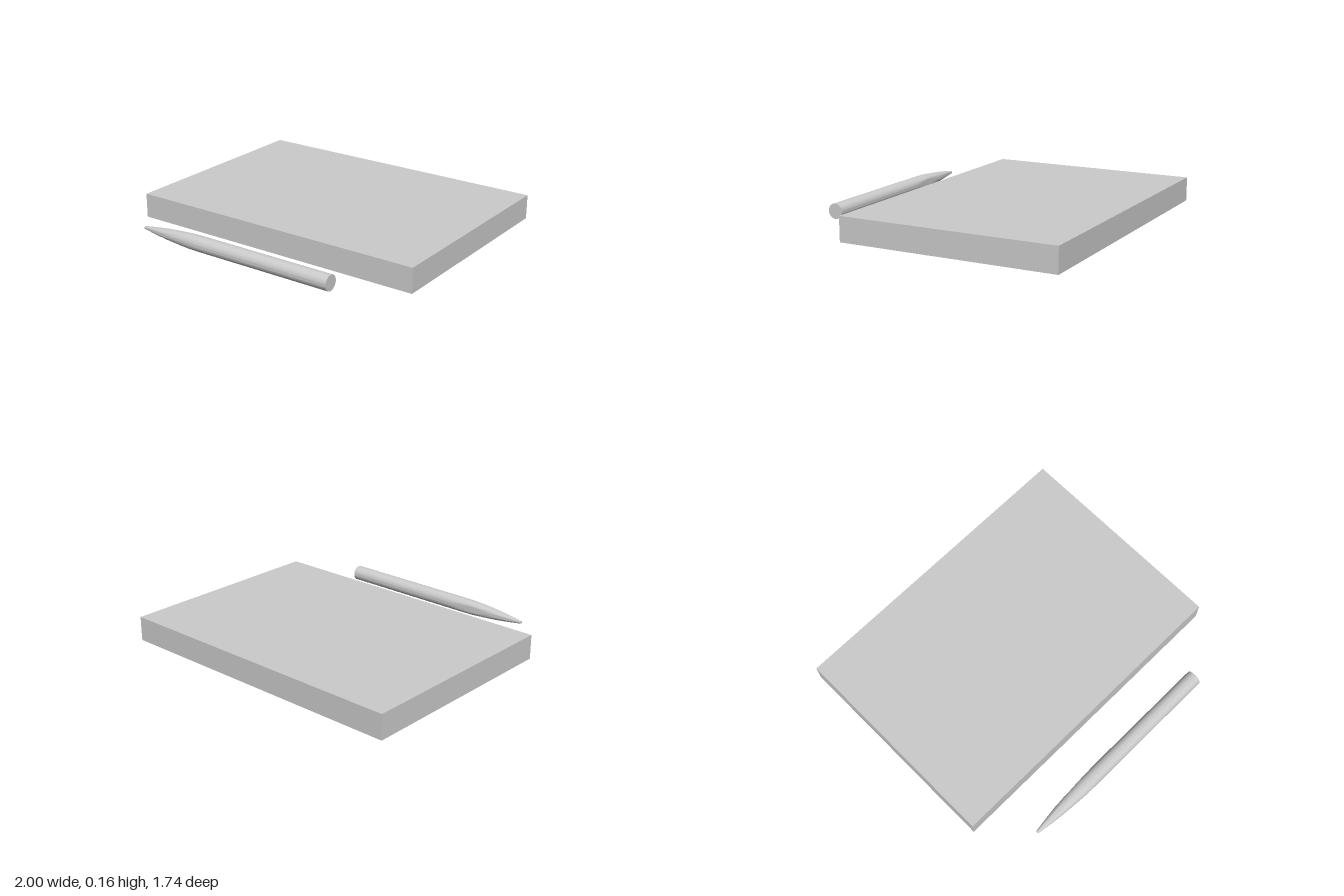
import * as THREE from 'three';
import { toCreasedNormals } from 'three/addons/utils/BufferGeometryUtils.js';

const material = new THREE.MeshStandardMaterial({ color: 0xcccccc });

// Flat rectangular slab
function createTablet() {
  const tablet = new THREE.Mesh(new THREE.BoxGeometry(2, 0.158, 1.404), material);
  tablet.name = 'tablet';
  tablet.position.set(0, 0.079, -0.167);
  return tablet;
}

// Round pen lying along x, tapering to a blunt tip at -x
function createPen() {
  const profile = [
    [0, -0.74], [0.009, -0.74], [0.022, -0.65], [0.033, -0.56], [0.039, -0.49],
    [0.044, -0.42], [0.048, -0.36], [0.049, -0.28], [0.049, -0.2], [0.049, 0.652], [0, 0.652],
  ].map(([r, x]) => new THREE.Vector2(r, x));
  const geometry = new THREE.LatheGeometry(profile, 48).rotateZ(-Math.PI / 2);

  // Shallow flat on the back of the grip, fading out towards the barrel
  const p = geometry.attributes.position;
  for (let i = 0; i < p.count; i++) {
    const x = p.getX(i);
    if (x < -0.57 || x > -0.2) continue;
    const t = Math.max(0, (x + 0.45) / 0.25);
    const limit = THREE.MathUtils.lerp(0.036, 0.049, t);
    p.setZ(i, Math.max(p.getZ(i), -limit));
  }

  const pen = new THREE.Mesh(toCreasedNormals(geometry, 0.6), material);
  pen.name = 'pen';
  pen.position.set(0, 0.08, 0.82);
  return pen;
}

export function createModel() {
  const model = new THREE.Group();
  model.name = 'tabletAndPen';
  model.add(createTablet(), createPen());
  return model;
}
